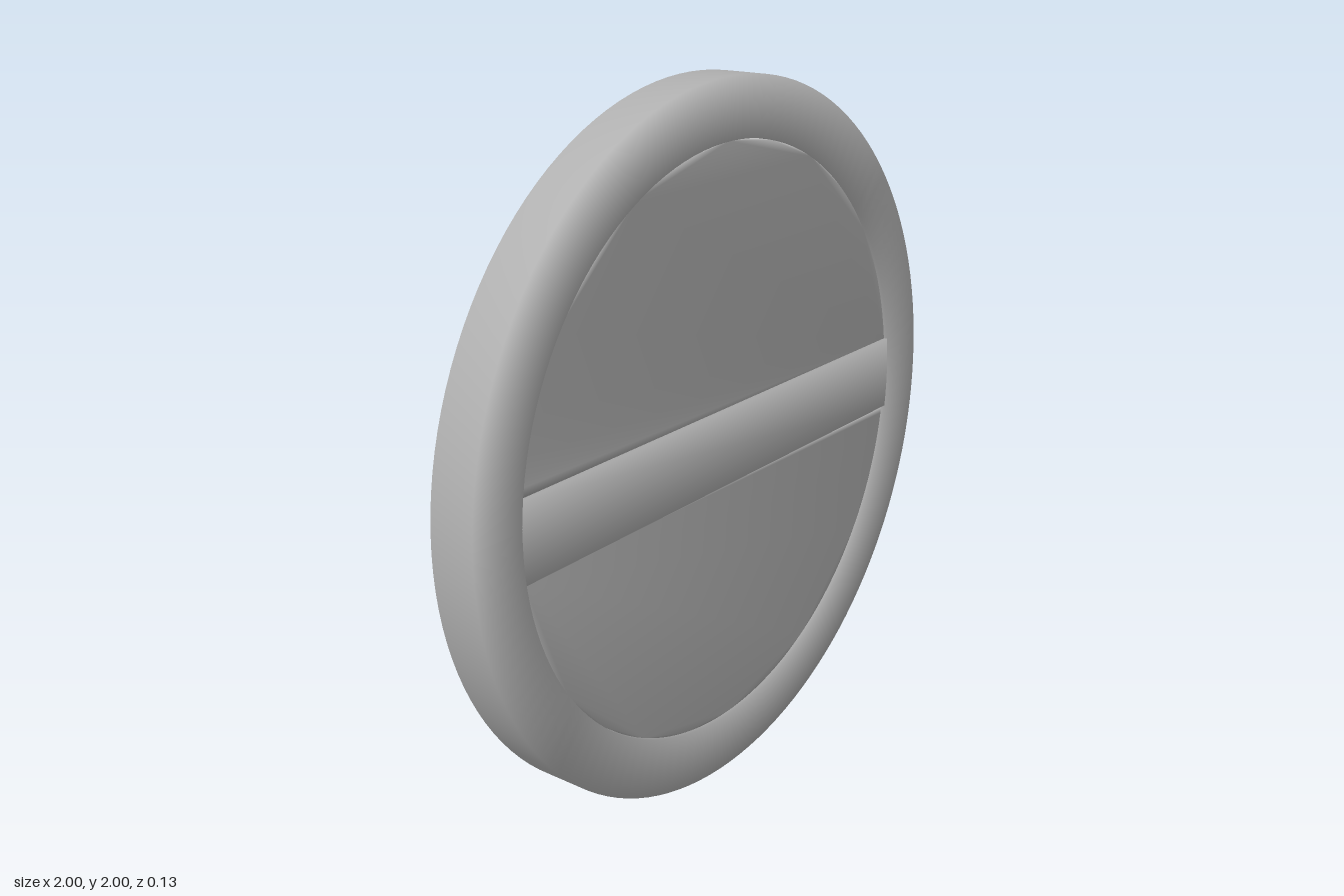
import * as THREE from 'three';
import { mergeVertices } from 'three/addons/utils/BufferGeometryUtils.js';

const DEPTH = 0.067; // half thickness of the frame
const INNER = 0.835; // radius of the ring opening
const BAR = 0.11; // half height of the crossbar
const RECESS = 0.01; // how far the panels sit below the frame

// Shares vertices across edges so the shading rolls softly over them
function soften(geometry) {
  geometry.deleteAttribute('normal');
  geometry.deleteAttribute('uv');
  const merged = mergeVertices(geometry, 1e-4);
  merged.computeVertexNormals();
  return merged;
}

export function createModel() {
  const model = new THREE.Group();
  model.name = 'barredDisc';
  const material = new THREE.MeshStandardMaterial({ color: 0xcccccc });

  const add = (name, geometry) => {
    const mesh = new THREE.Mesh(geometry, material);
    mesh.name = name;
    mesh.position.y = 1;
    model.add(mesh);
    return mesh;
  };

  // Outer ring: rectangular section, starting midway up the inner wall
  const section = [
    [INNER, 0], [INNER, -DEPTH], [1, -DEPTH], [1, DEPTH], [INNER, DEPTH], [INNER, 0],
  ].map(([r, h]) => new THREE.Vector2(r, h));
  add('ring', new THREE.LatheGeometry(section, 128).rotateX(Math.PI / 2));

  // Crossbar: square prism lying along x, ends meeting the ring
  const bar = new THREE.CylinderGeometry(Math.SQRT2, Math.SQRT2, 2 * INNER, 4, 1, true, Math.PI / 4);
  bar.rotateZ(Math.PI / 2).scale(1, BAR, DEPTH);
  add('crossbar', bar);

  // Two half-disc panels, above and below the bar
  const radius = INNER - 0.002;
  const start = Math.asin(BAR / radius);
  const half = new THREE.Shape();
  half.absarc(0, 0, radius, start, Math.PI - start, false);
  half.closePath();
  const thickness = 2 * (DEPTH - RECESS);
  const panel = soften(new THREE.ExtrudeGeometry(half, {
    depth: thickness, bevelEnabled: false, curveSegments: 48,
  }).translate(0, 0, -thickness / 2));
  add('upperPanel', panel);
  add('lowerPanel', panel).rotation.z = Math.PI;

  return model;
}
